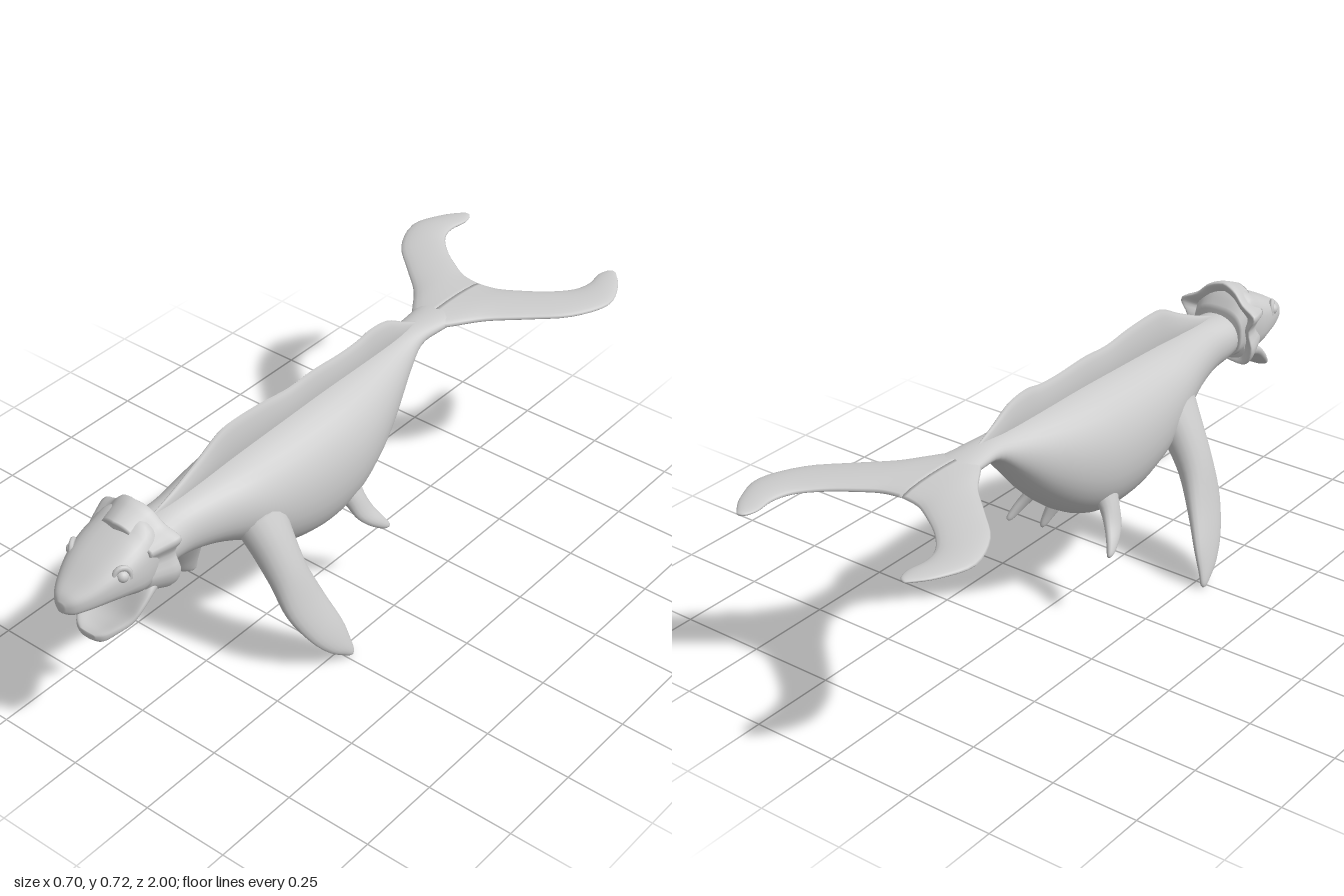
import * as THREE from 'three';

const material = new THREE.MeshStandardMaterial({ color: 0xcccccc, side: THREE.DoubleSide });

// Smooth interpolation through rows of numbers
function sample(rows, u) {
  const n = rows.length - 1;
  const i = Math.min(Math.floor(u * n), n - 1);
  const f = u * n - i;
  const at = (k) => rows[Math.max(0, Math.min(n, k))];
  return rows[i].map((p1, c) => {
    const p0 = at(i - 1)[c], p2 = at(i + 1)[c], p3 = at(i + 2)[c];
    const m1 = (p2 - p0) / 2, m2 = (p3 - p1) / 2;
    return (2 * f ** 3 - 3 * f ** 2 + 1) * p1 + (f ** 3 - 2 * f ** 2 + f) * m1
      + (3 * f ** 2 - 2 * f ** 3) * p2 + (f ** 3 - f ** 2) * m2;
  });
}

// Closed skin over rings; the winding is turned outward by its signed volume
function loft(name, rows, ring, seg = 24, sub = 4) {
  const pts = [], index = [], steps = (rows.length - 1) * sub;
  for (let i = 0; i <= steps; i++) {
    const row = sample(rows, i / steps);
    for (let j = 0; j < seg; j++) pts.push(ring(row, (j / seg) * Math.PI * 2));
  }
  const id = (i, j) => i * seg + (j % seg);
  for (let i = 0; i < steps; i++) {
    for (let j = 0; j < seg; j++) {
      const a = id(i, j), b = id(i, j + 1), c = id(i + 1, j), d = id(i + 1, j + 1);
      index.push(a, b, c, b, d, c);
    }
  }
  for (const [i, flip] of [[0, true], [steps, false]]) {
    const mid = new THREE.Vector3();
    for (let j = 0; j < seg; j++) mid.addScaledVector(pts[id(i, j)], 1 / seg);
    const m = pts.push(mid) - 1;
    for (let j = 0; j < seg; j++) {
      const a = id(i, j), b = id(i, j + 1);
      index.push(m, flip ? b : a, flip ? a : b);
    }
  }
  let volume = 0;
  const cross = new THREE.Vector3();
  for (let k = 0; k < index.length; k += 3) {
    volume += pts[index[k]].dot(cross.crossVectors(pts[index[k + 1]], pts[index[k + 2]]));
  }
  if (volume < 0) index.reverse();
  const geometry = new THREE.BufferGeometry().setFromPoints(pts);
  geometry.setIndex(index);
  geometry.computeVertexNormals();
  const mesh = new THREE.Mesh(geometry, material);
  mesh.name = name;
  return mesh;
}

// Upright cross-section: row = [z, halfWidth, top, bottom, hollow in the top]
const power = (v, e) => Math.sign(v) * Math.abs(v) ** e;
const section = (e) => ([z, w, top, bottom, dip = 0], t) => {
  const c = power(Math.cos(t), e), s = power(Math.sin(t), e);
  const y = (top + bottom) / 2 + ((top - bottom) / 2) * s;
  return new THREE.Vector3(w * c, y - (s > 0 ? dip * (1 - c * c) : 0), z);
};

// Flipper cross-section: row = [x, y, z, halfChord, halfThickness]
const flipperSection = (side) => ([x, y, z, chord, thick], t) => new THREE.Vector3(
  side * (x + 0.87 * thick * Math.sin(t)), y + 0.5 * thick * Math.sin(t), z + chord * Math.cos(t));

// Fluke cross-section: row = [leadX, leadZ, trailX, trailZ, halfThickness]
const flukeSection = (side) => ([lx, lz, tx, tz, thick], t) => {
  const k = (1 - Math.cos(t)) / 2;
  return new THREE.Vector3(side * (lx + (tx - lx) * k), 0.609 + thick * Math.sin(t), lz + (tz - lz) * k);
};

function makeHead() {
  const head = new THREE.Group();
  head.name = 'head';
  head.add(loft('skull', [
    [0.70, 0.08, 0.61, 0.47], [0.75, 0.098, 0.665, 0.46], [0.80, 0.104, 0.645, 0.463],
    [0.85, 0.1, 0.622, 0.482], [0.90, 0.085, 0.597, 0.492], [0.95, 0.062, 0.568, 0.495],
    [0.985, 0.037, 0.548, 0.494], [1.0, 0.012, 0.53, 0.502],
  ], section(0.75), 32));
  head.add(loft('lowerJaw', [
    [0.72, 0.085, 0.53, 0.46, 0], [0.78, 0.1, 0.51, 0.45, 0.02], [0.82, 0.098, 0.475, 0.42, 0.035],
    [0.85, 0.088, 0.438, 0.397, 0.025], [0.885, 0.068, 0.418, 0.378, 0.02],
    [0.91, 0.048, 0.404, 0.364, 0.012], [0.922, 0.025, 0.392, 0.37, 0.005],
  ], section(0.75), 32));

  // Scalloped collar behind the skull
  const outline = [[0, 0.685], [0.045, 0.672], [0.08, 0.64], [0.128, 0.612], [0.108, 0.565],
    [0.122, 0.51], [0.098, 0.46], [0.05, 0.452], [0, 0.455]];
  const mirrored = outline.slice(1, -1).reverse().map(([x, y]) => [-x, y]);
  const rim = new THREE.CatmullRomCurve3(
    [...outline, ...mirrored].map(([x, y]) => new THREE.Vector3(x, y, 0)), true);
  head.add(loft('frill', [
    [0.81, 0.8], [0.77, 0.93], [0.745, 1], [0.727, 0.99], [0.732, 0.86], [0.75, 0.65],
  ], ([z, scale], t) => {
    const p = rim.getPoint(t / (Math.PI * 2));
    return new THREE.Vector3(p.x * scale, 0.55 + (p.y - 0.55) * scale, z - 0.2 * Math.abs(p.x) * scale);
  }, 56));

  // Eyes with raised lids, and nostrils
  for (const side of [-1, 1]) {
    const eye = new THREE.Group();
    eye.name = side > 0 ? 'leftEye' : 'rightEye';
    eye.position.set(side * 0.083, 0.575, 0.868);
    eye.rotation.y = side * 1.05;
    const ball = new THREE.Mesh(new THREE.SphereGeometry(0.017, 16, 12), material);
    ball.name = 'eyeball';
    const lid = new THREE.Mesh(new THREE.TorusGeometry(0.021, 0.007, 8, 20), material);
    lid.name = 'eyelid';
    lid.scale.y = 1.15;
    eye.add(ball, lid);
    const nostril = new THREE.Mesh(new THREE.TorusGeometry(0.008, 0.004, 8, 14), material);
    nostril.name = 'nostril';
    nostril.position.set(side * 0.031, 0.541, 0.967);
    nostril.rotation.set(-0.6, side * 0.7, 0);
    head.add(eye, nostril);
  }
  return head;
}

export function createModel() {
  const model = new THREE.Group();
  model.name = 'seaCreature';

  // Body from neck to tail stem
  model.add(loft('body', [
    [0.76, 0.07, 0.59, 0.48], [0.68, 0.077, 0.6, 0.46], [0.6, 0.077, 0.605, 0.447],
    [0.5, 0.097, 0.612, 0.42], [0.4, 0.122, 0.618, 0.37], [0.3, 0.137, 0.622, 0.295],
    [0.2, 0.146, 0.625, 0.256], [0.1, 0.149, 0.628, 0.243], [0, 0.145, 0.63, 0.258],
    [-0.1, 0.128, 0.63, 0.31], [-0.2, 0.1, 0.63, 0.395], [-0.3, 0.066, 0.63, 0.505],
    [-0.37, 0.05, 0.632, 0.572], [-0.45, 0.056, 0.63, 0.584], [-0.55, 0.07, 0.625, 0.592],
    [-0.66, 0.05, 0.617, 0.601],
  ], section(0.95), 32));

  // Thin sail along the back
  model.add(loft('dorsalSail', [
    [0.68, 0.003, 0.6, 0.57], [0.6, 0.01, 0.628, 0.57], [0.5, 0.014, 0.672, 0.57],
    [0.42, 0.015, 0.712, 0.57], [0.36, 0.015, 0.72, 0.57], [0.25, 0.015, 0.714, 0.57],
    [0.15, 0.015, 0.702, 0.57], [0.05, 0.015, 0.706, 0.57], [-0.06, 0.015, 0.7, 0.57],
    [-0.14, 0.015, 0.701, 0.57], [-0.2, 0.015, 0.71, 0.57], [-0.27, 0.014, 0.7, 0.58],
    [-0.34, 0.01, 0.662, 0.59], [-0.41, 0.004, 0.626, 0.6],
  ], section(1.1), 16));

  model.add(makeHead());

  for (const side of [-1, 1]) {
    const label = side > 0 ? 'left' : 'right';
    model.add(loft(label + 'FrontFlipper', [
      [0.07, 0.47, 0.365, 0.085, 0.06], [0.118, 0.39, 0.362, 0.068, 0.054],
      [0.167, 0.3, 0.355, 0.062, 0.044], [0.212, 0.2, 0.335, 0.07, 0.031],
      [0.252, 0.11, 0.298, 0.062, 0.021], [0.274, 0.05, 0.268, 0.041, 0.015],
      [0.284, 0.015, 0.242, 0.019, 0.01], [0.287, 0.003, 0.235, 0.006, 0.005],
    ], flipperSection(side), 20));
    model.add(loft(label + 'RearFlipper', [
      [0.085, 0.36, 0.02, 0.05, 0.035], [0.115, 0.315, 0.01, 0.035, 0.025],
      [0.14, 0.27, -0.005, 0.034, 0.017], [0.16, 0.235, -0.03, 0.028, 0.014],
      [0.172, 0.208, -0.056, 0.016, 0.01], [0.174, 0.2, -0.064, 0.005, 0.004],
    ], flipperSection(side), 16));
    model.add(loft(label + 'Fluke', [
      [0, -0.38, 0, -0.7, 0.02], [0.065, -0.47, 0.06, -0.71, 0.019],
      [0.125, -0.555, 0.12, -0.745, 0.017], [0.21, -0.635, 0.18, -0.79, 0.015],
      [0.3, -0.725, 0.228, -0.845, 0.013], [0.348, -0.84, 0.243, -0.9, 0.012],
      [0.318, -0.935, 0.236, -0.955, 0.009], [0.275, -0.992, 0.243, -0.985, 0.006],
      [0.262, -1, 0.252, -0.997, 0.002],
    ], flukeSection(side), 20));
  }
  return model;
}
